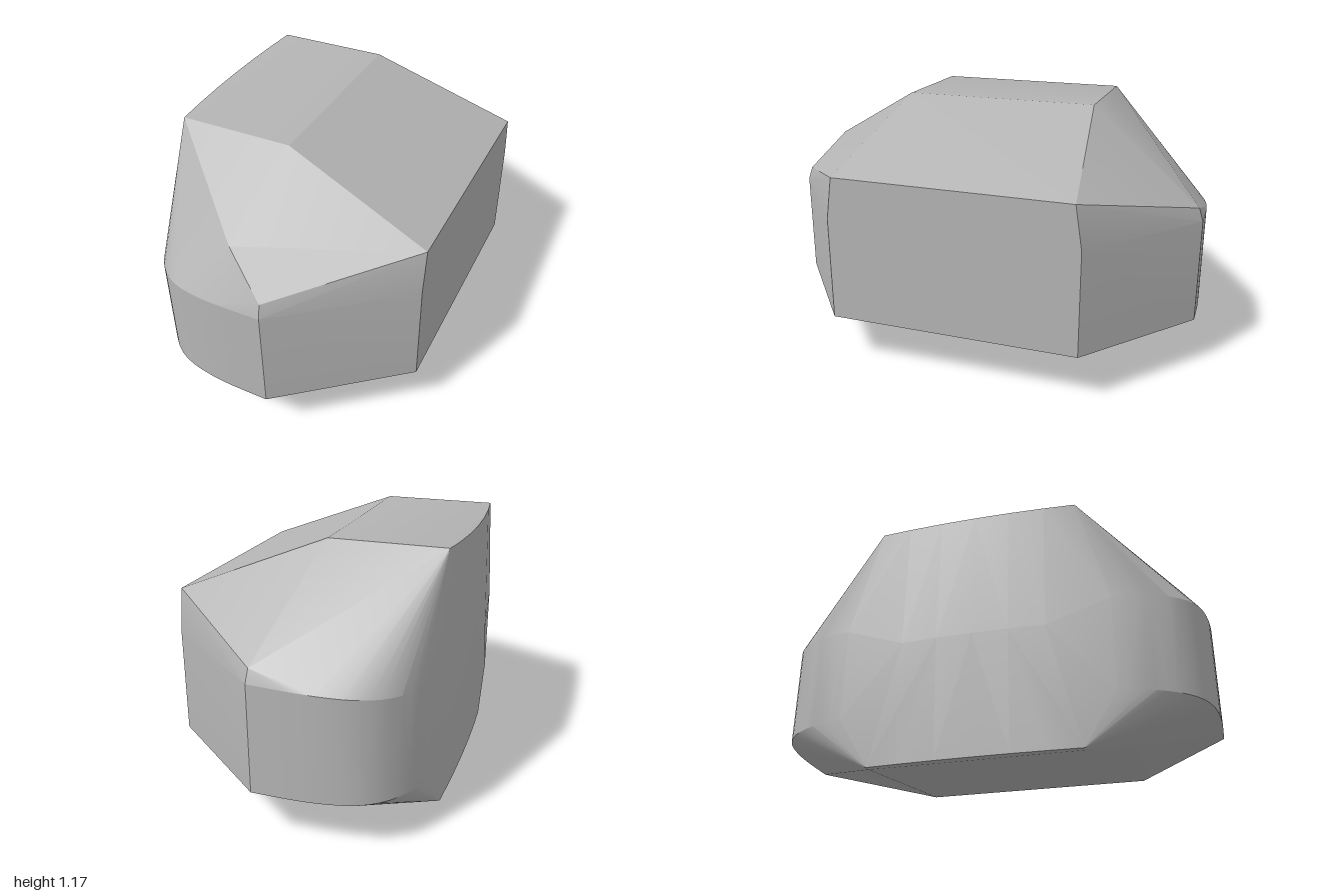
import * as THREE from 'three';
import { ConvexGeometry } from 'three/addons/geometries/ConvexGeometry.js';
import { toCreasedNormals } from 'three/addons/utils/BufferGeometryUtils.js';

export function createModel() {
  const group = new THREE.Group();
  const stone = new THREE.MeshStandardMaterial({ color: 0xb4b4b4 });
  stone.name = 'stone grey';

  const points = [];
  const add = (x, y, z) => points.push(new THREE.Vector3(x, y, z));
  const addPair = (x, y, z) => { add(x, y, z); add(x, y, -z); };

  // Rounded corner of the wall, from the flat front towards the bulging left side
  const corner = new THREE.CatmullRomCurve3([
    [0.09, 1], [-0.1, 0.997], [-0.22, 0.985], [-0.34, 0.955], [-0.43, 0.9],
    [-0.5, 0.815], [-0.545, 0.72], [-0.572, 0.6],
  ].map(([x, z]) => new THREE.Vector3(x, 0, z)));
  corner.getPoints(16).forEach((p, i) => {
    addPair(p.x, 0.23, p.z);
    addPair(p.x, 0.71 - 0.05 * i / 16, p.z);
  });

  // Flat right side and its sloping upper rim
  addPair(0.613, 0.23, 0.58);
  addPair(0.613, 0.71, 0.58);
  addPair(0.613, 0.905, 0.55);
  addPair(0.085, 0.77, 0.98);

  // Flat top, with an extra facet corner on the front shoulder
  addPair(-0.05, 1.167, 0.46);
  addPair(-0.57, 1.167, 0.46);
  add(-0.1, 0.925, 0.88);

  // Slightly domed left side, from bottom rim to top rim
  for (const z of [0, 0.16, 0.32]) {
    const bulge = 1 - (z / 0.46) ** 2;
    addPair(-0.573 - 0.012 * bulge, 0, z);
    addPair(-0.592 - 0.023 * bulge, 0.55, z);
    addPair(-0.57 - 0.028 * bulge, 1.167 - 0.008 * bulge, z);
  }

  // Narrow foot edge of the slanted underside
  addPair(-0.573, 0, 0.46);
  addPair(-0.545, 0, 0.46);

  const boulder = new THREE.Mesh(
    toCreasedNormals(new ConvexGeometry(points), THREE.MathUtils.degToRad(17)), stone);
  boulder.name = 'boulder';
  group.add(boulder);
  return group;
}
